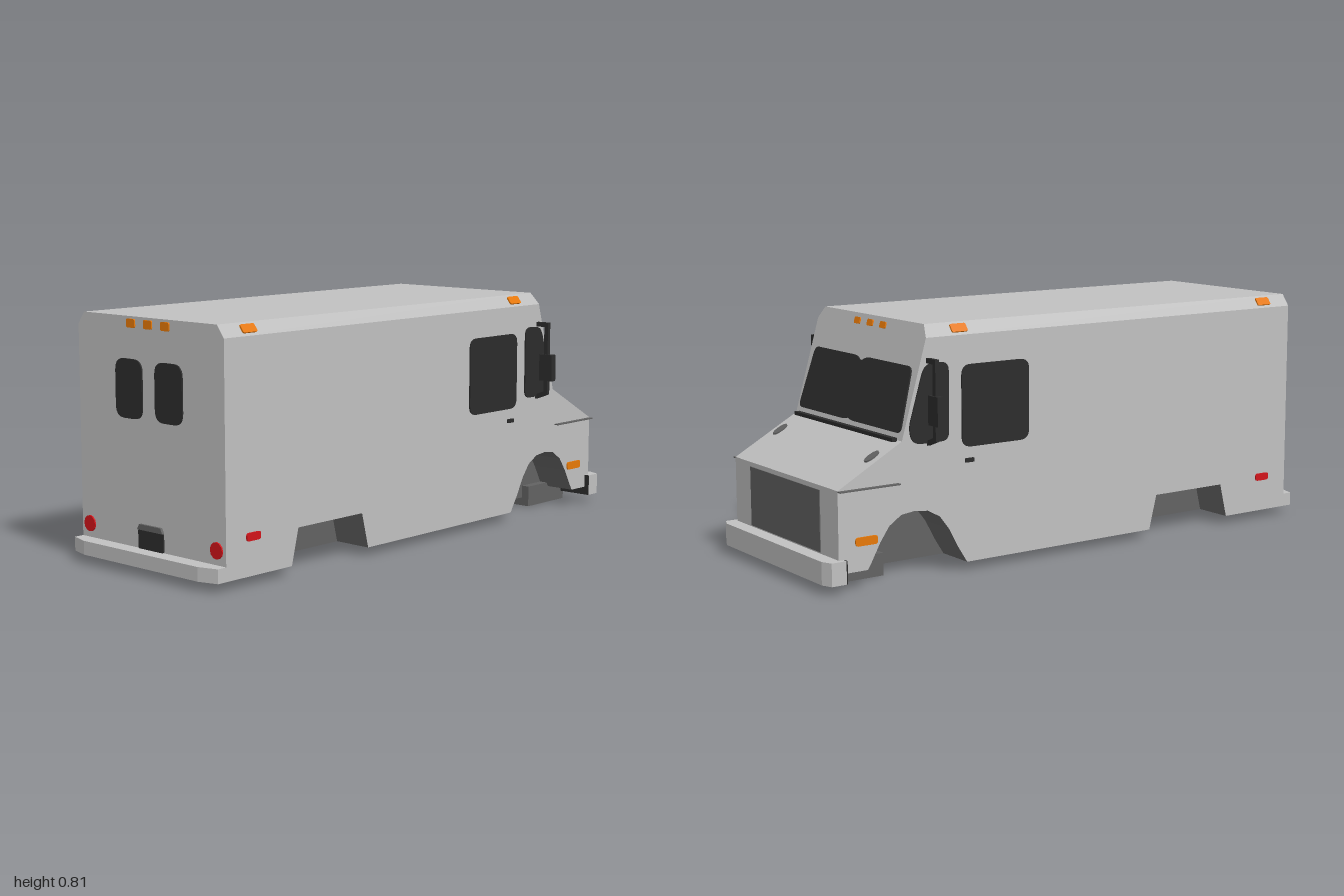
import * as THREE from 'three';

const mat = (name, color) => Object.assign(new THREE.MeshStandardMaterial({ color }), { name });
const V = (x, y, z) => new THREE.Vector3(x, y, z);

// Closed outline with corners rounded by r
function outline(pts, r = 0) {
  const s = new THREE.Shape();
  if (!r) return s.setFromPoints(pts.map(p => new THREE.Vector2(...p)));
  const P = pts.map(p => new THREE.Vector2(...p)), n = P.length;
  P.forEach((p, i) => {
    const a = P[(i + n - 1) % n].clone().sub(p), b = P[(i + 1) % n].clone().sub(p);
    a.setLength(Math.min(r, a.length() / 2)).add(p);
    b.setLength(Math.min(r, b.length() / 2)).add(p);
    if (i) s.lineTo(a.x, a.y); else s.moveTo(a.x, a.y);
    s.quadraticCurveTo(p.x, p.y, b.x, b.y);
  });
  s.closePath();
  return s;
}
const rect = (w, h, r) => outline([[-w / 2, -h / 2], [w / 2, -h / 2], [w / 2, h / 2], [-w / 2, h / 2]], r);

export function createModel() {
  const body = mat('bodyGrey', 0xc0c0c0), black = mat('black', 0x2c2c2c);
  const trim = mat('trimGrey', 0x626262);
  const orange = mat('amber', 0xf88208), red = mat('red', 0xd2141a);
  const van = new THREE.Group();
  van.name = 'stepVan';

  const add = (name, geo, m, parent = van) => {
    const mesh = new THREE.Mesh(geo, m);
    mesh.name = name;
    parent.add(mesh);
    return mesh;
  };
  const box = (name, m, w, h, d, x, y, z, parent) =>
    add(name, new THREE.BoxGeometry(w, h, d).translate(x, y, z), m, parent);
  // Thin plate lying on a surface with the given normal and up direction
  const plate = (name, shape, m, pos, normal, up, parent, t = 0.005) => {
    const g = new THREE.ExtrudeGeometry(shape, { depth: t, bevelEnabled: false, curveSegments: 6 });
    const n = normal.clone().normalize(), u = up.clone().normalize();
    g.applyMatrix4(new THREE.Matrix4().makeBasis(u.clone().cross(n), u, n).setPosition(pos));
    return add(name, g, m, parent);
  };

  // Slab of the side profile between x0 and x1; floor black, wheel wells trim
  const slab = (name, pts, x0, x1, capIndex) => {
    const g = new THREE.ExtrudeGeometry(outline(pts), { depth: x1 - x0, bevelEnabled: false });
    g.rotateY(Math.PI / 2).translate(x0, 0, 0);
    const p = g.attributes.position, nr = g.attributes.normal;
    g.clearGroups();
    for (let i = 0; i < p.count; i += 3) {
      const y = (p.getY(i) + p.getY(i + 1) + p.getY(i + 2)) / 3;
      const z = (p.getZ(i) + p.getZ(i + 1) + p.getZ(i + 2)) / 3;
      let k = 0;
      if (Math.abs(nr.getX(i)) > 0.5) k = capIndex;
      else if (nr.getY(i) < -0.9 && y < 0.07) k = 2;
      else if (y < 0.24 && z > -0.94 && z < 0.94) k = 1;
      g.addGroup(i, 3, k);
    }
    add(name, g, [body, trim, black]);
  };
  // Profiles are [-z, y]
  const upper = [[0.95, 0.325], [0.715, 0.455], [0.622, 0.775], [-0.945, 0.775], [-0.945, 0.03]];
  const wells = [[-0.66, 0.03], [-0.63, 0.15], [-0.33, 0.15], [-0.30, 0.03], [0.47, 0.03],
    [0.505, 0.085], [0.54, 0.15], [0.575, 0.195], [0.62, 0.22], [0.67, 0.226], [0.72, 0.22],
    [0.765, 0.19], [0.80, 0.14], [0.83, 0.085], [0.845, 0.06], [0.95, 0.06]];
  slab('bodyCore', [...upper, [0.95, 0.03]], -0.2, 0.2, 1);
  slab('bodySideLeft', [...upper, ...wells], 0.2, 0.34, 0);
  slab('bodySideRight', [...upper, ...wells], -0.34, -0.2, 0);

  // Roof with chamfered long edges
  const roof = new THREE.BoxGeometry(2, 2, 2).toNonIndexed(), rp = roof.attributes.position;
  for (let i = 0; i < rp.count; i++) {
    const top = rp.getY(i) > 0;
    rp.setXYZ(i, Math.sign(rp.getX(i)) * (top ? 0.31 : 0.34), top ? 0.815 : 0.775,
      rp.getZ(i) > 0 ? 0.945 : top ? -0.61 : -0.622);
  }
  roof.computeVertexNormals();
  add('roof', roof, body);

  // Bumpers: outline in [x, z], swept up from y0 to y1
  const bumper = (name, pts, y0, y1) => {
    const g = new THREE.ExtrudeGeometry(outline(pts.map(([x, z]) => [x, -z])), { depth: y1 - y0, bevelEnabled: false });
    add(name, g.rotateX(-Math.PI / 2).translate(0, y0, 0), body);
  };
  bumper('rearBumper', [[-0.34, 0.94], [-0.34, 0.98], [-0.27, 1], [0.27, 1], [0.34, 0.98], [0.34, 0.94]], 0.03, 0.076);
  bumper('frontBumper', [[0.357, -0.932], [0.357, -0.985], [0.32, -1], [-0.32, -1], [-0.357, -0.985], [-0.357, -0.932]], 0.03, 0.105);
  box('bumperBack', black, 0.714, 0.075, 0.004, 0, 0.0675, -0.93);
  box('frontChassis', trim, 0.46, 0.075, 0.22, 0, 0.0375, -0.832);

  // Windscreen and front face
  const slopeUp = V(0, 0.36, 0.105), slopeN = V(0, 0.105, -0.36), Y = V(0, 1, 0);
  plate('windscreen', outline([[-0.325, 0.022], [-0.02, 0.022], [0, 0.03], [0.02, 0.022], [0.325, 0.022],
    [0.305, 0.236], [0.03, 0.236], [0, 0.218], [-0.03, 0.236], [-0.305, 0.236]], 0.025),
    black, V(0, 0.455, -0.715), slopeN, slopeUp);
  box('cowl', black, 0.63, 0.012, 0.018, 0, 0.457, -0.726);
  plate('grille', rect(0.46, 0.2), trim, V(0, 0.21, -0.95), V(0, 0, -1), Y, van, 0.003);

  // Rear face
  const back = V(0, 0, 1);
  plate('plateRecess', rect(0.118, 0.065, 0.008), black, V(0, 0.108, 0.945), back, Y);
  plate('plateLampHood', outline([[-0.06, 0], [0.06, 0], [0.05, 0.018], [-0.05, 0.018]]), trim, V(0, 0.138, 0.945), back, Y, van, 0.009);
  for (const x of [-0.08, 0, 0.08]) {
    plate('rearMarker', rect(0.038, 0.028, 0.006), orange, V(x, 0.793, 0.945), back, Y);
    plate('frontMarker', rect(0.034, 0.022, 0.006), orange, V(x, 0.79, -0.6173), slopeN, slopeUp);
  }

  // Everything found on both sides, built on +x and mirrored
  const side = new THREE.Group(), out = V(1, 0, 0);
  side.name = 'leftSideDetails';
  plate('doorWindow', rect(0.265, 0.268, 0.035), black, V(0.34, 0.545, -0.357), out, Y, side);
  plate('quarterWindow', outline([[0.54, 0.44], [0.675, 0.44], [0.692, 0.49], [0.635, 0.68], [0.61, 0.695], [0.54, 0.695]], 0.03),
    black, V(0.34, 0, 0), out, Y, side);
  plate('doorHandle', rect(0.035, 0.014, 0.004), black, V(0.34, 0.367, -0.46), out, Y, side);
  plate('rearSideMarker', rect(0.06, 0.026, 0.01), red, V(0.34, 0.155, 0.83), out, Y, side);
  plate('frontSideMarker', rect(0.08, 0.028, 0.01), orange, V(0.34, 0.155, -0.85), out, Y, side);
  for (const z of [0.83, -0.49])
    plate('roofMarker', rect(0.06, 0.03, 0.006), orange, V(0.325, 0.795, z), V(0.8, 0.6, 0), V(-0.6, 0.8, 0), side);
  plate('rearWindow', rect(0.126, 0.19, 0.04), black, V(0.093, 0.585, 0.945), back, Y, side);
  const lamp = new THREE.Shape().absarc(0, 0, 0.027, 0, Math.PI * 2);
  plate('tailLamp', lamp, red, V(0.3, 0.122, 0.945), back, Y, side);
  const latch = new THREE.Shape().absellipse(0, 0, 0.017, 0.03, 0, Math.PI * 2);
  plate('bonnetLatch', latch, trim, V(0.298, 0.408, -0.8), V(0, 0.235, -0.13), V(0, 0.13, 0.235), side);
  box('bonnetStrip', trim, 0.016, 0.004, 0.22, 0.348, 0.322, -0.84, side);

  // Mirror on a bent bracket
  const arm = outline([[0.338, 0.695], [0.376, 0.695], [0.376, 0.461], [0.338, 0.446], [0.338, 0.43],
    [0.392, 0.45], [0.392, 0.711], [0.338, 0.711]]);
  add('mirrorArm', new THREE.ExtrudeGeometry(arm, { depth: 0.014, bevelEnabled: false }).translate(0, 0, -0.622), black, side);
  box('mirrorHead', black, 0.055, 0.095, 0.024, 0.386, 0.548, -0.616, side);

  const mirrored = side.clone();
  mirrored.name = 'rightSideDetails';
  mirrored.scale.x = -1;
  van.add(side, mirrored);
  return van;
}
